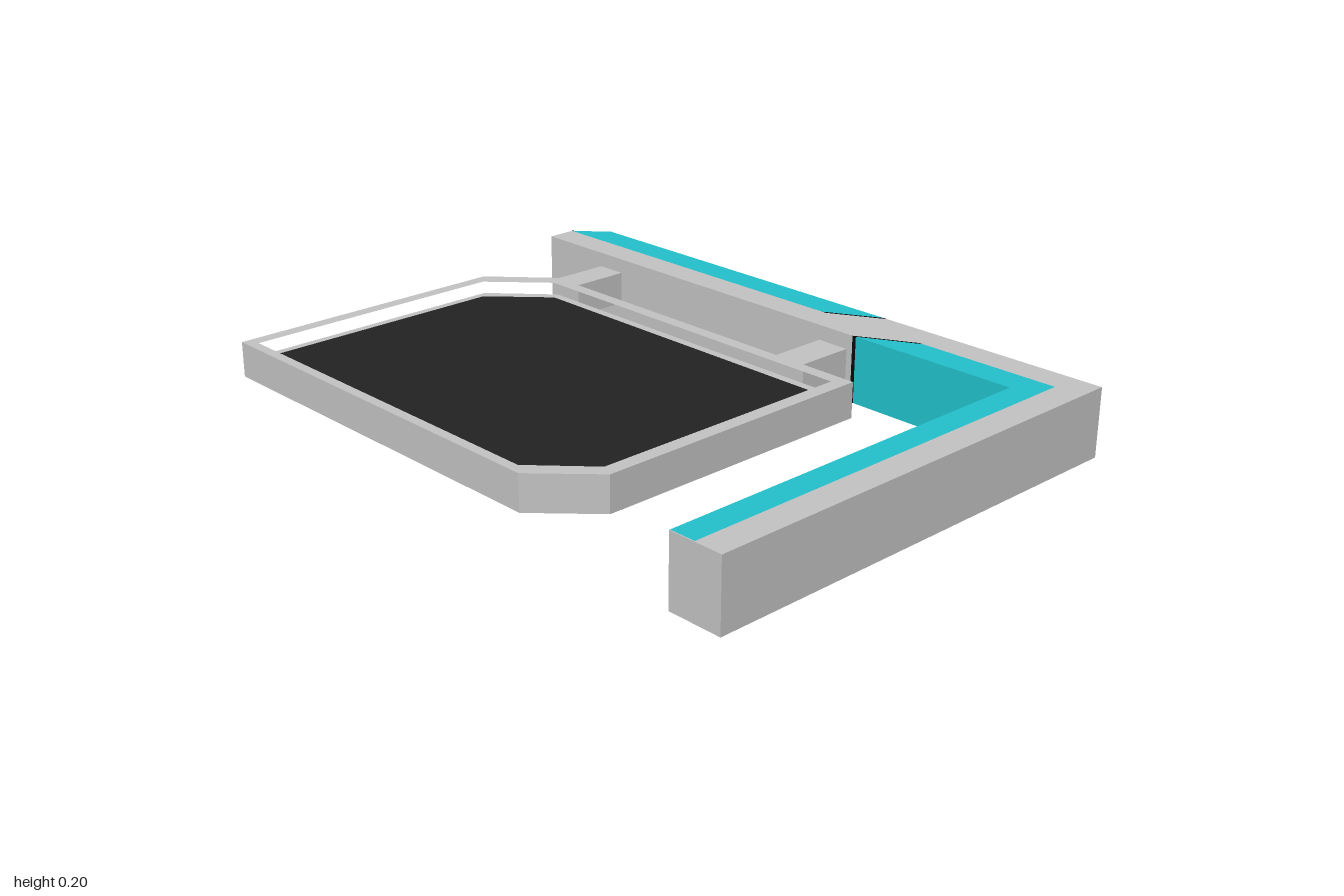
import * as THREE from 'three';

export function createModel() {
  const model = new THREE.Group();
  const mat = (name, color) => Object.assign(new THREE.MeshStandardMaterial({ color }), { name });
  const grey = mat('light grey', 0xc2c2c2);
  const cyan = mat('cyan', 0x22c0cb);
  const dark = mat('charcoal', 0x222222);
  const black = mat('seam black', 0x080808);

  // Extrude a plan outline given as [x, z] pairs from height y0 to y1
  const flip = pts => pts.map(([x, z]) => new THREE.Vector2(x, -z));
  function slab(name, material, pts, y0, y1, hole) {
    const shape = new THREE.Shape(flip(pts));
    if (hole) shape.holes.push(new THREE.Path(flip(hole)));
    const geo = new THREE.ExtrudeGeometry(shape, { depth: y1 - y0, bevelEnabled: false });
    geo.rotateX(-Math.PI / 2).translate(0, y0, 0);
    const mesh = new THREE.Mesh(geo, material);
    mesh.name = name;
    model.add(mesh);
  }
  const rect = (x0, x1, z0, z1) => [[x0, z0], [x1, z0], [x1, z1], [x0, z1]];
  const H = 0.2;

  // Grey L-shaped frame with two diagonal joints
  slab('frame', grey, [
    [-1, -0.525], [-1, -0.615], [0.12, -0.615], [0.277, -0.703], [1, -0.703], [1, 0.703],
    [0.915, 0.703], [0.915, -0.615], [0.465, -0.615], [0.3, -0.525],
  ], 0, H);

  // Cyan trim on the outside of the back beam and inside the corner
  slab('outerTrim', cyan, [
    [-1, -0.615], [-0.905, -0.703], [0.263, -0.703], [0.106, -0.615],
  ], 0, H);
  slab('innerTrim', cyan, [
    [0.312, -0.525], [0.477, -0.615], [0.915, -0.615], [0.915, 0.7], [0.838, 0.7], [0.838, -0.525],
  ], 0, H);
  slab('armEndCap', grey, rect(0.838, 0.915, 0.7, 0.703), 0, H);

  // Black joint lines
  slab('outerSeam', black, [[0.106, -0.615], [0.263, -0.703], [0.277, -0.703], [0.12, -0.615]], 0, H);
  slab('innerSeam', black, [[0.3, -0.525], [0.465, -0.615], [0.477, -0.615], [0.312, -0.525]], 0, H);
  slab('endSeam', black, rect(-1.001, -0.998, -0.622, -0.61), 0, H);

  // Tray with two cut corners: rim, base and dark recessed panel
  const outline = [
    [-0.93, -0.185], [-0.76, -0.345], [0.46, -0.345], [0.46, 0.535], [0.305, 0.69], [-0.93, 0.69],
  ];
  const recess = [
    [-0.89, -0.15], [-0.73, -0.305], [0.417, -0.305], [0.417, 0.515], [0.267, 0.66], [-0.89, 0.66],
  ];
  slab('trayRim', grey, outline, 0.1, 0.155, recess);
  slab('trayBase', grey, outline, 0.05, 0.1);
  slab('trayPanel', dark, recess, 0.1, 0.107);

  // Brackets joining the tray to the back beam
  for (const [x0, x1] of [[-0.755, -0.66], [0.178, 0.28]]) {
    slab('bracket', grey, rect(x0, x1, -0.525, -0.345), 0.055, 0.155);
  }
  return model;
}
